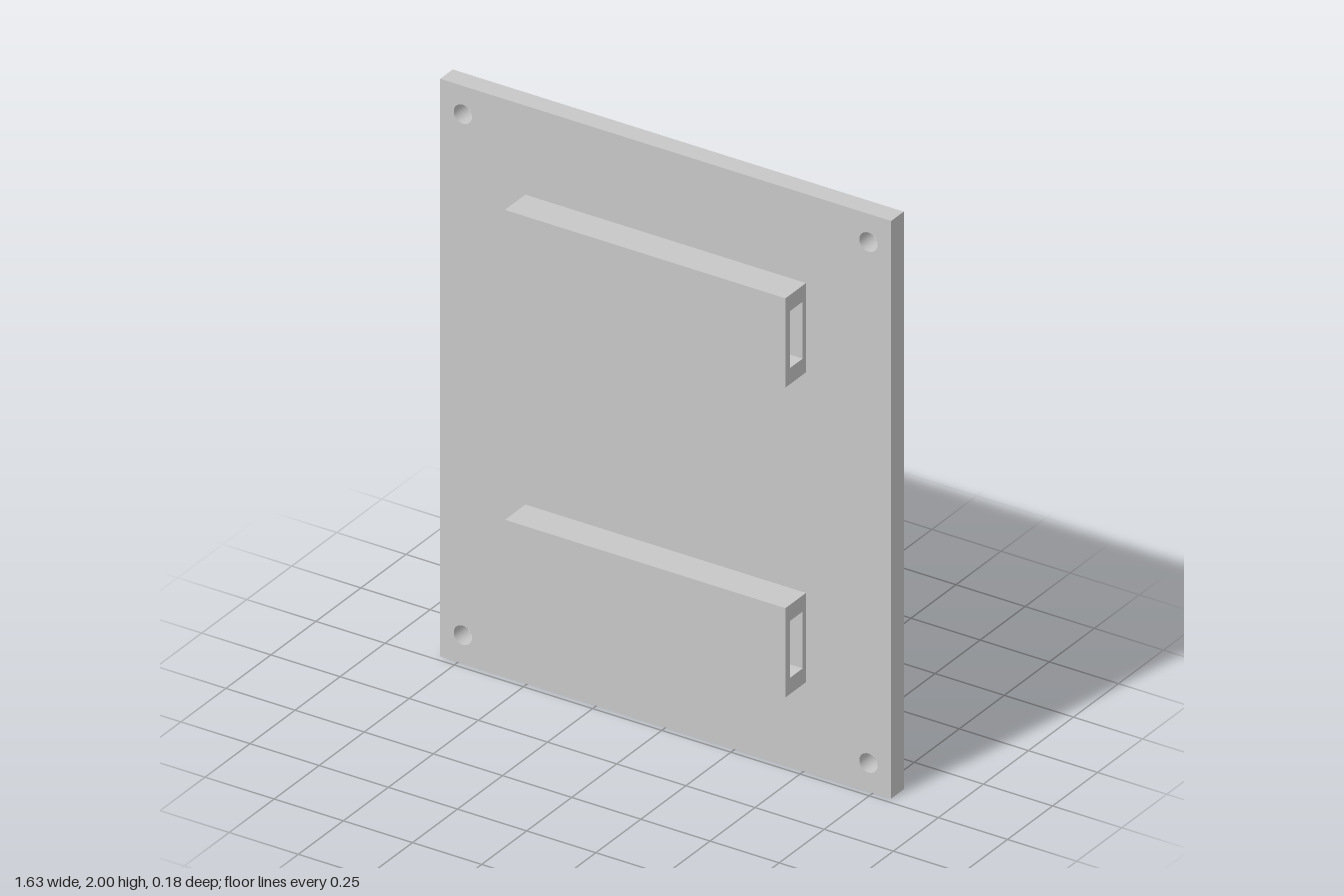
import * as THREE from 'three';

const rect = (target, x0, y0, x1, y1) => {
  target.moveTo(x0, y0);
  target.lineTo(x1, y0);
  target.lineTo(x1, y1);
  target.lineTo(x0, y1);
  target.closePath();
  return target;
};

const extrude = (shape, depth) =>
  new THREE.ExtrudeGeometry(shape, { depth, bevelEnabled: false, curveSegments: 20 });

export function createModel() {
  const group = new THREE.Group();
  const lightGrey = new THREE.MeshStandardMaterial({ color: 0xc7c7c7 });
  lightGrey.name = 'lightGrey';

  const add = (name, geometry) => {
    const mesh = new THREE.Mesh(geometry, lightGrey);
    mesh.name = name;
    group.add(mesh);
  };

  const back = -0.092, plateFront = -0.022, loopFront = 0.092;

  // Upright plate with a screw hole in each corner
  const plate = rect(new THREE.Shape(), -0.815, 0, 0.815, 2);
  for (const x of [-0.733, 0.733]) {
    for (const y of [0.098, 1.902]) {
      const hole = new THREE.Path();
      hole.absarc(x, y, 0.033, 0, Math.PI * 2, true);
      plate.holes.push(hole);
    }
  }
  add('plate', extrude(plate, plateFront - back).translate(0, 0, back));

  // Two strap loops: hollow bars, drawn in section (-z, y) and extruded along x
  const halfWidth = 0.507;
  for (const [name, y] of [['lowerLoop', 0.31], ['upperLoop', 1.383]]) {
    const section = rect(new THREE.Shape(), -loopFront, y, -plateFront, y + 0.309);
    section.holes.push(rect(new THREE.Path(), -0.066, y + 0.056, 0.004, y + 0.253));
    add(name, extrude(section, halfWidth * 2).rotateY(Math.PI / 2).translate(-halfWidth, 0, 0));
  }

  return group;
}
